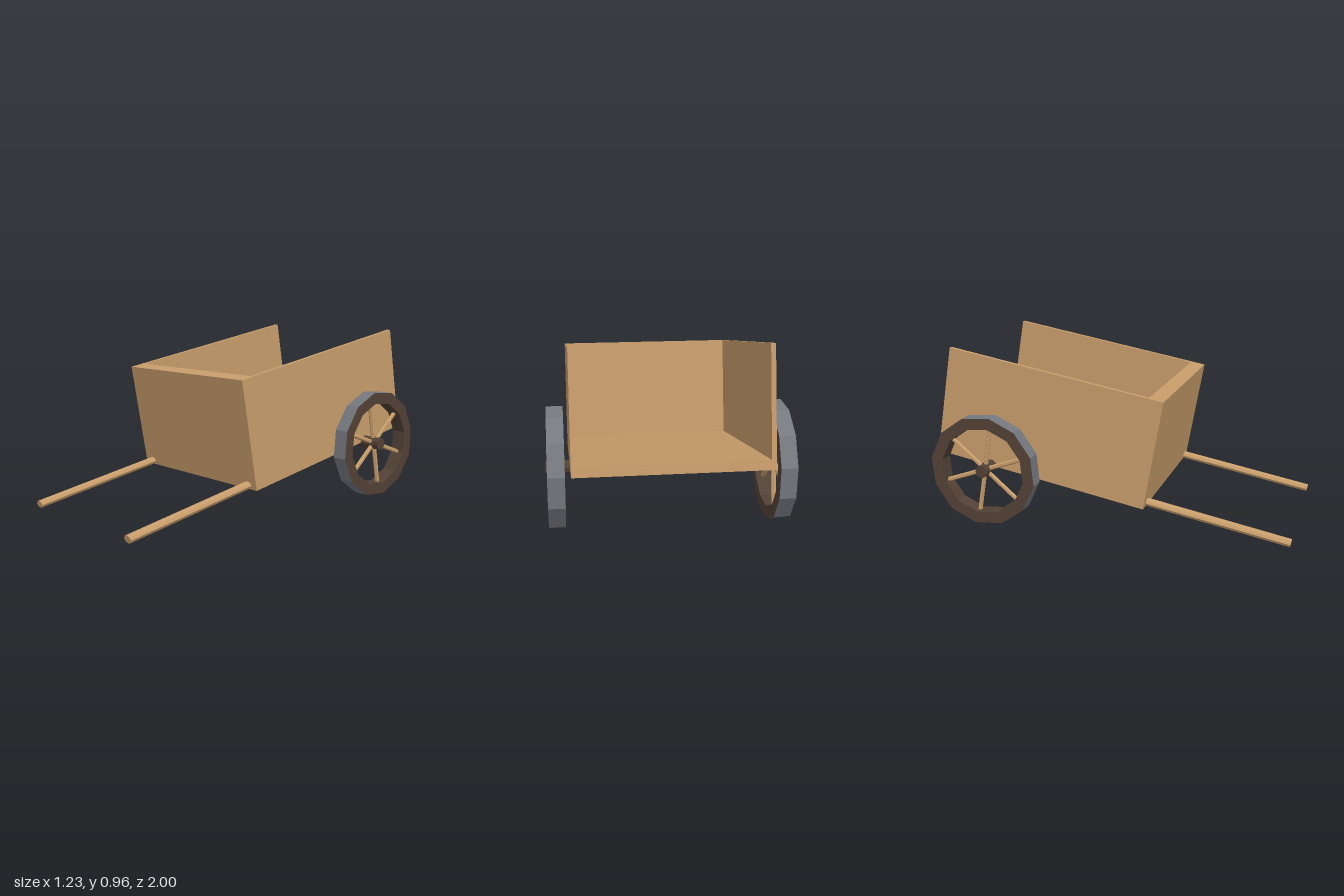
import * as THREE from 'three';

const wood = new THREE.MeshStandardMaterial({ color: 0xc69c6a });
wood.name = 'wood';
const darkWood = new THREE.MeshStandardMaterial({ color: 0x524136 });
darkWood.name = 'darkWood';
const iron = new THREE.MeshStandardMaterial({ color: 0x75787e });
iron.name = 'iron';

// Faceted mesh: every face gets its own normal
function part(name, geometry, material, x = 0, y = 0, z = 0) {
  const flat = geometry.index ? geometry.toNonIndexed() : geometry;
  flat.computeVertexNormals();
  const mesh = new THREE.Mesh(flat, material);
  mesh.name = name;
  mesh.position.set(x, y, z);
  return mesh;
}

// Twelve-sided wheel, axis along x
function makeWheel() {
  const R = 0.311, r = 0.245, h = 0.042;
  const lathe = (pts) =>
    new THREE.LatheGeometry(pts.map(([x, y]) => new THREE.Vector2(x, y)), 12).rotateZ(Math.PI / 2);
  const wheel = new THREE.Group();
  wheel.add(part('tire', lathe([[R, -h], [R, h]]), iron));
  wheel.add(part('rim', lathe([[R, h], [r, h], [r, -h], [R, -h]]), darkWood));
  for (let i = 0; i < 6; i++) {
    const spoke = new THREE.CylinderGeometry(0.013, 0.013, 0.23, 6);
    spoke.translate(0, 0.13, 0).rotateX((i * Math.PI) / 3);
    wheel.add(part('spoke', spoke, wood));
  }
  return wheel;
}

export function createModel() {
  const model = new THREE.Group();
  model.name = 'handcart';

  // Tilted frame with its origin at the lower front edge of the box
  const cart = new THREE.Group();
  cart.name = 'cart';
  cart.position.set(0, 0.155, 0.215);
  cart.rotation.x = THREE.MathUtils.degToRad(10.2);
  model.add(cart);

  // Open-backed box
  const L = 1.233, H = 0.61, W = 0.987, t = 0.024, cx = -0.003;
  const inner = W - 2 * t, front = 0.083, floor = 0.05;
  cart.add(part('floor', new THREE.BoxGeometry(inner, floor, L - front), wood, cx, floor / 2, -(L + front) / 2));
  cart.add(part('frontBoard', new THREE.BoxGeometry(inner, H, front), wood, cx, H / 2, -front / 2));

  // Axle half sunk into the floor
  const axleZ = -0.904;
  const axle = new THREE.CylinderGeometry(0.035, 0.035, 1.228, 10).rotateZ(Math.PI / 2);
  cart.add(part('axle', axle, darkWood, -0.002, 0, axleZ));

  for (const [side, s] of [['left', 1], ['right', -1]]) {
    cart.add(part(side + 'Board', new THREE.BoxGeometry(t, H, L), wood, cx + s * (W - t) / 2, H / 2, -L / 2));

    // Flattened eight-sided pull shaft
    const shaft = new THREE.CylinderGeometry(0.029, 0.029, 0.845, 8).rotateX(Math.PI / 2).scale(1, 0.74, 1);
    cart.add(part(side + 'Shaft', shaft, wood, cx + s * 0.428, 0.022, 0.795 - 0.845 / 2));

    const wheel = makeWheel();
    wheel.name = side + 'Wheel';
    wheel.position.set(cx + s * 0.563, 0, axleZ);
    cart.add(wheel);
  }
  return model;
}
